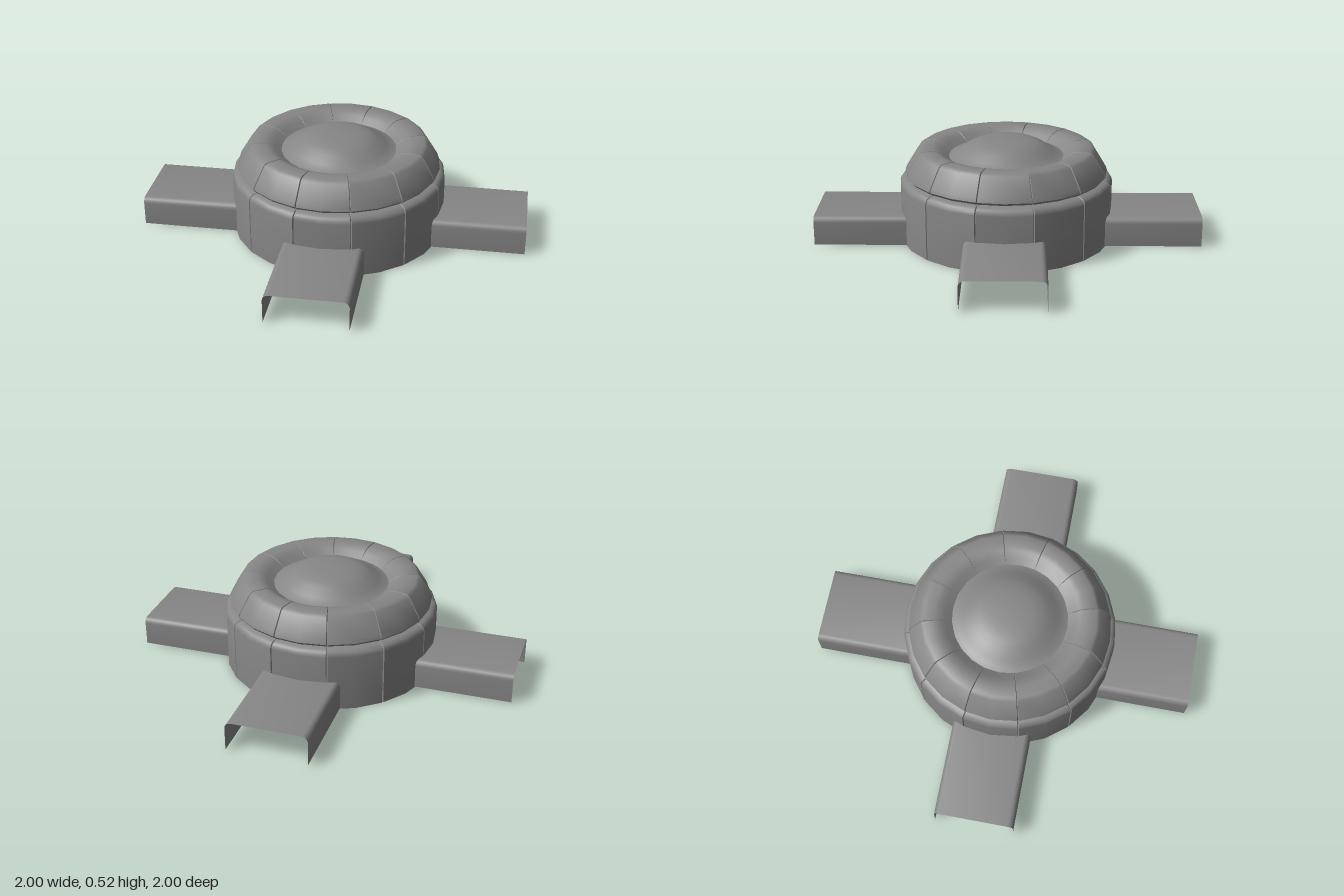
import * as THREE from 'three';
import { toCreasedNormals } from 'three/addons/utils/BufferGeometryUtils.js';

const PANELS = 12;
const OFFSET = 0.01; // the hub axis sits slightly off the middle of the arms' span
const material = new THREE.MeshStandardMaterial({ color: 0x868686, side: THREE.DoubleSide });
const toPoints = (list) => list.map(([x, y]) => new THREE.Vector2(x, y));

function addMesh(parent, name, geometry) {
  const mesh = new THREE.Mesh(geometry, material);
  mesh.name = name;
  parent.add(mesh);
  return mesh;
}

// Turned shell split into panels by narrow V grooves
function panelledRing(profile, depth = 0.006, halfWidth = 0.007) {
  const geometry = new THREE.LatheGeometry(toPoints(profile), PANELS * 4);
  const pos = geometry.attributes.position;
  const normal = geometry.attributes.normal;
  const step = (Math.PI * 2) / PANELS;
  const columns = [0, halfWidth, step / 2, step - halfWidth];
  for (let i = 0; i < pos.count; i++) {
    const column = Math.floor(i / profile.length);
    const row = i % profile.length;
    const angle = step * (Math.floor(column / 4) + 0.5) + columns[column % 4];
    let [r, y] = profile[row];
    if (column % 4 === 0) {
      // seam column: sink along the profile's normal
      r -= Math.hypot(normal.getX(i), normal.getZ(i)) * depth;
      if (row > 0) y -= normal.getY(i) * depth;
    }
    pos.setXYZ(i, Math.sin(angle) * r, y, Math.cos(angle) * r);
  }
  return toCreasedNormals(geometry, 0.6);
}

// Open channel running along z: thin sheet with rounded upper corners
function channel(halfWidth, bottom, top, radius, start, end) {
  const section = [[-halfWidth, bottom]];
  for (const side of [-1, 1]) {
    for (let k = 0; k <= 4; k++) {
      const a = ((side < 0 ? k : 4 - k) / 4) * (Math.PI / 2);
      section.push([
        side * (halfWidth - radius + radius * Math.cos(a)),
        top - radius + radius * Math.sin(a),
      ]);
    }
  }
  section.push([halfWidth, bottom]);
  const geometry = new THREE.PlaneGeometry(1, 1, section.length - 1, 1);
  const pos = geometry.attributes.position;
  for (let i = 0; i < pos.count; i++) {
    const [x, y] = section[i % section.length];
    pos.setXYZ(i, x, y, i < section.length ? start : end);
  }
  return toCreasedNormals(geometry, 0.6);
}

export function createModel() {
  const model = new THREE.Group();
  model.name = 'hubWithFourArms';
  const hub = new THREE.Group();
  hub.name = 'hub';
  hub.position.set(OFFSET, 0, OFFSET);
  model.add(hub);

  // Upright lower wall, open underneath, with a rounded shoulder
  addMesh(hub, 'lowerRing', panelledRing([
    [0.555, 0], [0.555, 0.295], [0.552, 0.308], [0.543, 0.321], [0.528, 0.329], [0.495, 0.335],
  ]));

  // Tapered upper ring that rolls over into the central recess
  addMesh(hub, 'upperRing', panelledRing([
    [0.495, 0.335], [0.518, 0.34], [0.527, 0.352], [0.52, 0.372],
    [0.462, 0.468], [0.445, 0.479], [0.385, 0.479], [0.36, 0.473],
    [0.335, 0.458], [0.295, 0.43],
  ]));

  // Shallow cap in the recess
  addMesh(hub, 'centreDome', new THREE.LatheGeometry(toPoints([
    [0.3, 0.432], [0.275, 0.439], [0.245, 0.457], [0.2, 0.487], [0.16, 0.505],
    [0.11, 0.515], [0.05, 0.519], [0, 0.52],
  ]), 48));

  // Four channel arms, each reaching just through the wall
  [['frontArm', 0, 1], ['leftArm', 1, 1], ['backArm', 0, -1], ['rightArm', 1, -1]]
    .forEach(([name, alongX, sign]) => {
      const start = sign * 0.49 + OFFSET;
      const inner = Math.min(start, sign);
      const outer = Math.max(start, sign);
      const arm = addMesh(model, name, channel(0.205, 0.004, 0.156, 0.03, outer, inner));
      arm.rotation.y = (alongX * Math.PI) / 2;
      arm.position.set(alongX ? 0 : OFFSET, 0, alongX ? OFFSET : 0);
    });

  return model;
}
